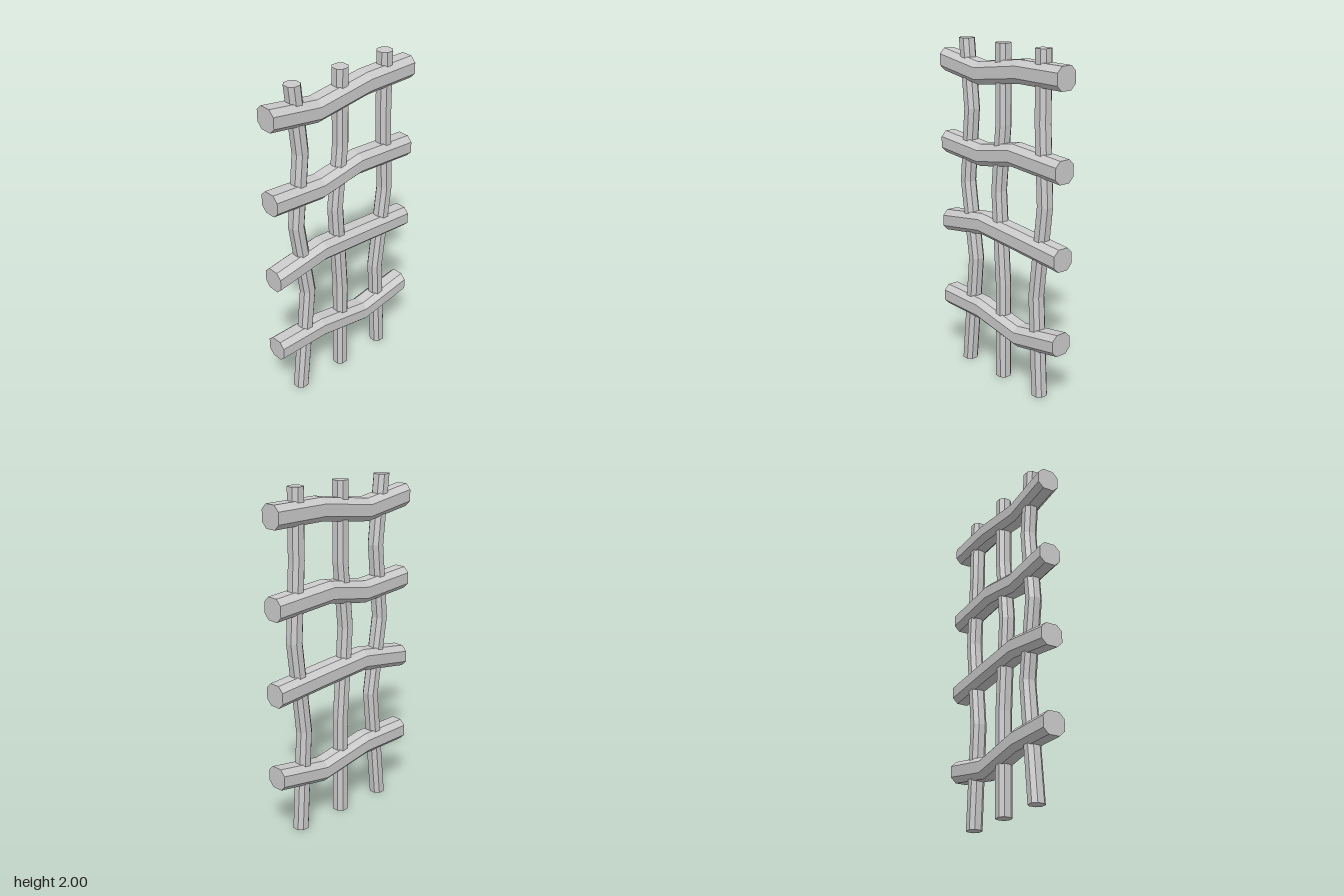
import * as THREE from 'three';

const material = new THREE.MeshStandardMaterial({ color: 0xcccccc, flatShading: true });

// Eight-sided pole along y that follows a path of [position along, sideways offset].
// half: distance to the flat faces, corner: half width of those faces.
function poleGeometry(path, half, corner) {
  const rows = path.length - 1;
  const geometry = new THREE.CylinderGeometry(1, 1, 1, 8, rows);
  geometry.rotateY(Math.PI / 8);
  const snap = (v) => (Math.abs(v) < 0.01 ? 0 : Math.sign(v) * (Math.abs(v) > 0.6 ? half : corner));
  const p = geometry.attributes.position;
  for (let i = 0; i < p.count; i++) {
    const [along, offset] = path[Math.round((p.getY(i) + 0.5) * rows)];
    p.setXYZ(i, snap(p.getX(i)) + offset, along, snap(p.getZ(i)));
  }
  geometry.computeVertexNormals();
  return geometry;
}

export function createModel() {
  const model = new THREE.Group();
  model.name = 'lattice';

  const add = (name, geometry) => {
    const mesh = new THREE.Mesh(geometry, material);
    mesh.name = name;
    model.add(mesh);
  };

  // Thin upright poles: [y, x]
  const uprights = {
    rightUpright: [[0, -0.325], [0.69, -0.255], [1.16, -0.325], [1.6, -0.283], [2, -0.325]],
    middleUpright: [[0, 0], [0.6, 0], [1.16, -0.038], [1.55, 0], [2, 0]],
    leftUpright: [[0, 0.325], [0.61, 0.29], [1.15, 0.352], [1.6, 0.327], [2, 0.325]],
  };
  for (const [name, path] of Object.entries(uprights)) {
    add(name, poleGeometry(path, 0.042, 0.02));
  }

  // Thick crossbars, bottom to top: [x, y]
  const crossbars = [
    [[-0.5, 0.38], [-0.18, 0.38], [0.165, 0.32], [0.5, 0.38]],
    [[-0.5, 0.875], [-0.16, 0.93], [0.165, 0.907], [0.5, 0.88]],
    [[-0.5, 1.37], [-0.165, 1.345], [0.11, 1.395], [0.5, 1.37]],
    [[-0.5, 1.862], [-0.185, 1.815], [0.17, 1.862], [0.5, 1.862]],
  ];
  crossbars.forEach((path, i) => {
    const geometry = poleGeometry(path.map(([x, y]) => [x, -y]), 0.065, 0.033);
    geometry.rotateZ(-Math.PI / 2);
    add(`crossbar${i + 1}`, geometry);
  });

  return model;
}
